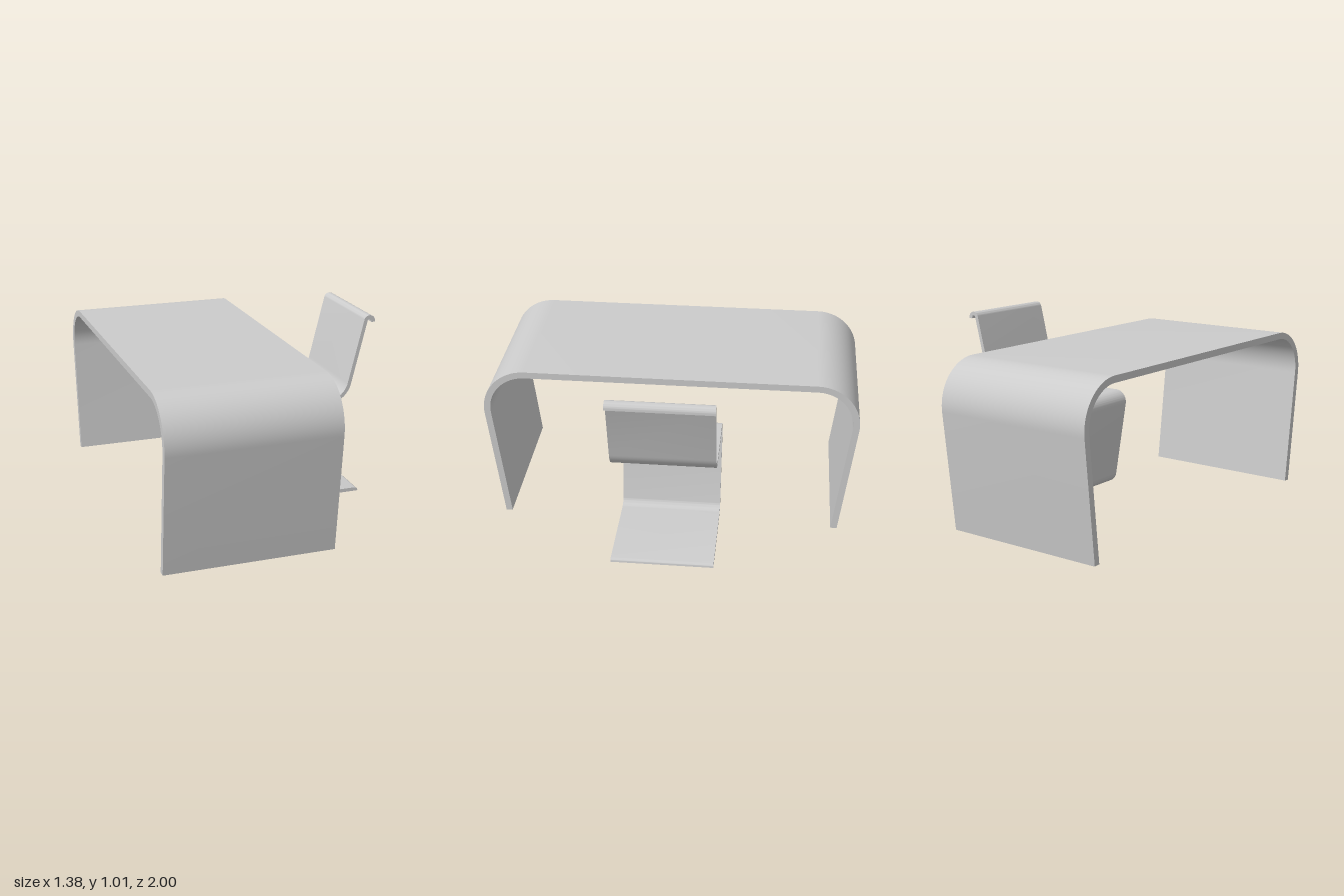
import * as THREE from 'three';
import { toCreasedNormals } from 'three/addons/utils/BufferGeometryUtils.js';

const V = (x, y) => new THREE.Vector2(x, y);

// Samples a path of [x, y, cornerRadius] as points with tangents, each corner rounded
function filletPath(pts) {
  const p = pts.map(([x, y]) => V(x, y));
  const last = p.length - 1;
  const dir = i => p[i + 1].clone().sub(p[i]).normalize();
  const out = [{ pos: p[0], tan: dir(0) }];
  for (let i = 1; i < last; i++) {
    const r = pts[i][2], d0 = dir(i - 1), d1 = dir(i);
    const turn = Math.atan2(d0.cross(d1), d0.dot(d1));
    const start = p[i].clone().addScaledVector(d0, -r * Math.tan(Math.abs(turn) / 2));
    const side = Math.sign(turn);
    const centre = start.clone().add(V(-d0.y, d0.x).multiplyScalar(side * r));
    const steps = Math.max(8, Math.ceil(Math.abs(turn) / 0.08));
    for (let k = 0; k <= steps; k++) {
      const pos = start.clone().rotateAround(centre, turn * k / steps);
      const tan = d0.clone().rotateAround(V(0, 0), turn * k / steps);
      out.push({ pos, tan });
    }
  }
  out.push({ pos: p[last], tan: dir(last - 1) });
  return out;
}

// A bent sheet: a path thickened to both sides and extruded to a width
function bentSheet(pts, thickness, width, roundStart = false) {
  const path = filletPath(pts);
  const offset = s => path.map(({ pos, tan }) => {
    const q = pos.clone().add(V(-tan.y, tan.x).multiplyScalar(s * thickness / 2));
    q.y = Math.max(0, q.y); // cut flat at the floor
    return q;
  });
  const a = offset(1), b = offset(-1);
  if (roundStart) {
    // Quarter-round nosing on the upper edge of the first end
    const { pos, tan } = path[0], r = thickness * 0.95;
    const c = b[0].clone().addScaledVector(tan, r).add(V(tan.y, -tan.x).multiplyScalar(-r));
    const arc = [];
    for (let k = 0; k <= 8; k++) {
      const t = k / 8 * Math.PI / 2;
      arc.push(c.clone().addScaledVector(tan, -r * Math.cos(t))
        .add(V(tan.y, -tan.x).multiplyScalar(r * Math.sin(t))));
    }
    b.splice(0, 1, ...arc);
  }
  const shape = new THREE.Shape([...a, ...b.reverse()]);
  const geo = new THREE.ExtrudeGeometry(shape, { depth: width, bevelEnabled: false });
  geo.translate(0, 0, -width / 2);
  return toCreasedNormals(geo, 0.5);
}

export function createModel() {
  const group = new THREE.Group();
  const material = new THREE.MeshStandardMaterial({ color: 0xcccccc });

  // Desk: top and both legs are one sheet, bent at the ends
  const deskGeo = bentSheet([
    [0.906, 0], [1.01, 0.868, 0.213], [-1.01, 0.868, 0.213], [-0.906, 0],
  ], 0.035, 0.894);
  deskGeo.rotateY(-Math.PI / 2);
  const desk = new THREE.Mesh(deskGeo, material);
  desk.name = 'desk';
  desk.position.x = -0.245;

  // Chair: base, leg, seat, backrest and rolled top edge from one sheet
  const chair = new THREE.Mesh(bentSheet([
    [0.622, 0.01],
    [0.091, 0.01, 0.055],
    [0.008, 0.54, 0.055],
    [0.529, 0.54, 0.125],
    [0.643, 0.996, 0.021],
    [0.681, 0.996, 0.021],
    [0.681, 0.968],
  ], 0.02, 0.546, true), material);
  chair.name = 'chair';

  group.add(desk, chair);
  return group;
}
